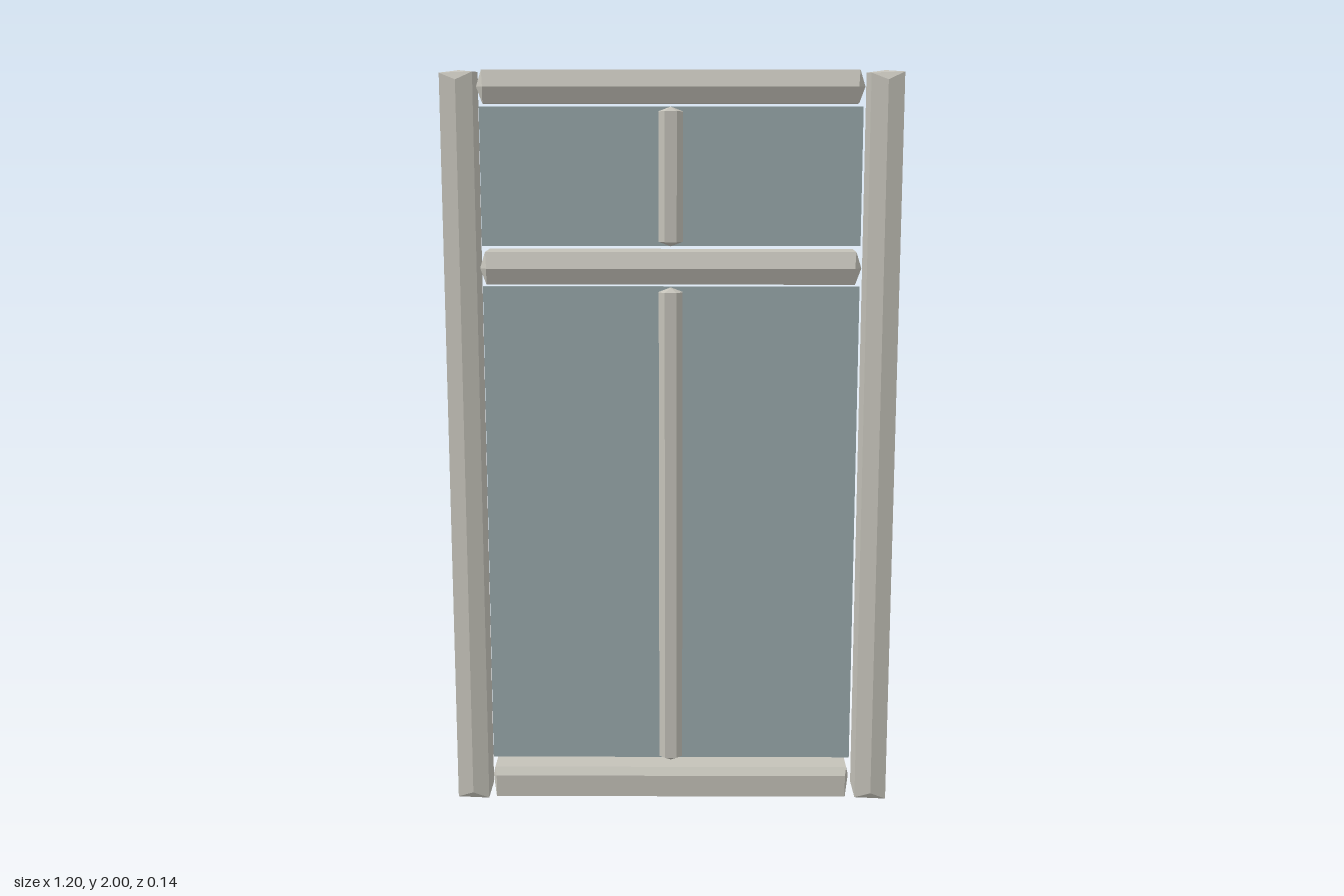
import * as THREE from 'three';
import { ConvexGeometry } from 'three/addons/geometries/ConvexGeometry.js';

const frameMat = new THREE.MeshStandardMaterial({ color: 0xc4c2b9 });
frameMat.name = 'weathered timber';
const glassMat = new THREE.MeshStandardMaterial({ color: 0x98a7aa });
glassMat.name = 'window glass';

// Rough-hewn beam along x: each profile point is [across, depth, half length there]
function beam(name, profile) {
  const points = [];
  for (const [across, depth, half] of profile) {
    for (const end of [-1, 1]) points.push(new THREE.Vector3(end * half, across, depth));
  }
  const mesh = new THREE.Mesh(new ConvexGeometry(points), frameMat);
  mesh.name = name;
  return mesh;
}

// Mirrors profile points front to back
const bothFaces = (profile) => profile.flatMap(([a, d, l]) => [[a, d, l], [a, -d, l]]);

export function createModel() {
  const group = new THREE.Group();
  group.name = 'window';

  // Side posts with a low ridge down the front and back
  for (const side of [-1, 1]) {
    const post = beam(side > 0 ? 'leftPost' : 'rightPost', [
      [0.043, 0.058, 0.992], [-0.043, 0.06, 0.995], [0.043, -0.06, 0.995], [-0.043, -0.058, 0.997],
      [0, 0.07, 0.975], [0, side > 0 ? -0.064 : -0.073, 0.98], [0, 0, 1],
    ]);
    post.rotation.z = Math.PI / 2;
    post.position.set(side * 0.556, 1, 0);
    group.add(post);
  }

  // Top and middle rails with a central ridge and pointed ends
  for (const [name, y] of [['topRail', 1.957], ['middleRail', 1.49]]) {
    const rail = beam(name, bothFaces([
      [0.043, 0.053, 0.488], [-0.043, 0.053, 0.486], [0, 0.07, 0.484], [0, 0.05, 0.502],
    ]));
    rail.position.set(-0.003, y, 0);
    group.add(rail);
  }

  // Bottom sill, squarer with a bevelled upper edge
  const sill = beam('bottomRail', bothFaces([
    [0.042, 0.05, 0.492], [0.022, 0.066, 0.487], [-0.04, 0.064, 0.488], [0.02, 0.048, 0.497],
  ]));
  sill.position.set(-0.003, 0.052, 0);
  group.add(sill);

  // Slim central mullions with chamfered corners
  for (const [name, low, high] of [['lowerMullion', 0.103, 1.435], ['upperMullion', 1.545, 1.907]]) {
    const half = (high - low) / 2;
    const mullion = beam(name, bothFaces([
      [0.016, 0.036, half - 0.012], [-0.016, 0.036, half - 0.012],
      [0.032, 0.02, half - 0.012], [-0.032, 0.02, half - 0.012], [0, 0.018, half],
    ]));
    mullion.rotation.z = Math.PI / 2;
    mullion.position.set(-0.003, (low + high) / 2, 0);
    group.add(mullion);
  }

  // Glass panes
  for (const [name, low, high] of [['lowerPane', 0.105, 1.437], ['upperPane', 1.545, 1.907]]) {
    const pane = new THREE.Mesh(new THREE.BoxGeometry(1.005, high - low, 0.009), glassMat);
    pane.name = name;
    pane.position.set(-0.002, (low + high) / 2, 0);
    group.add(pane);
  }

  return group;
}
